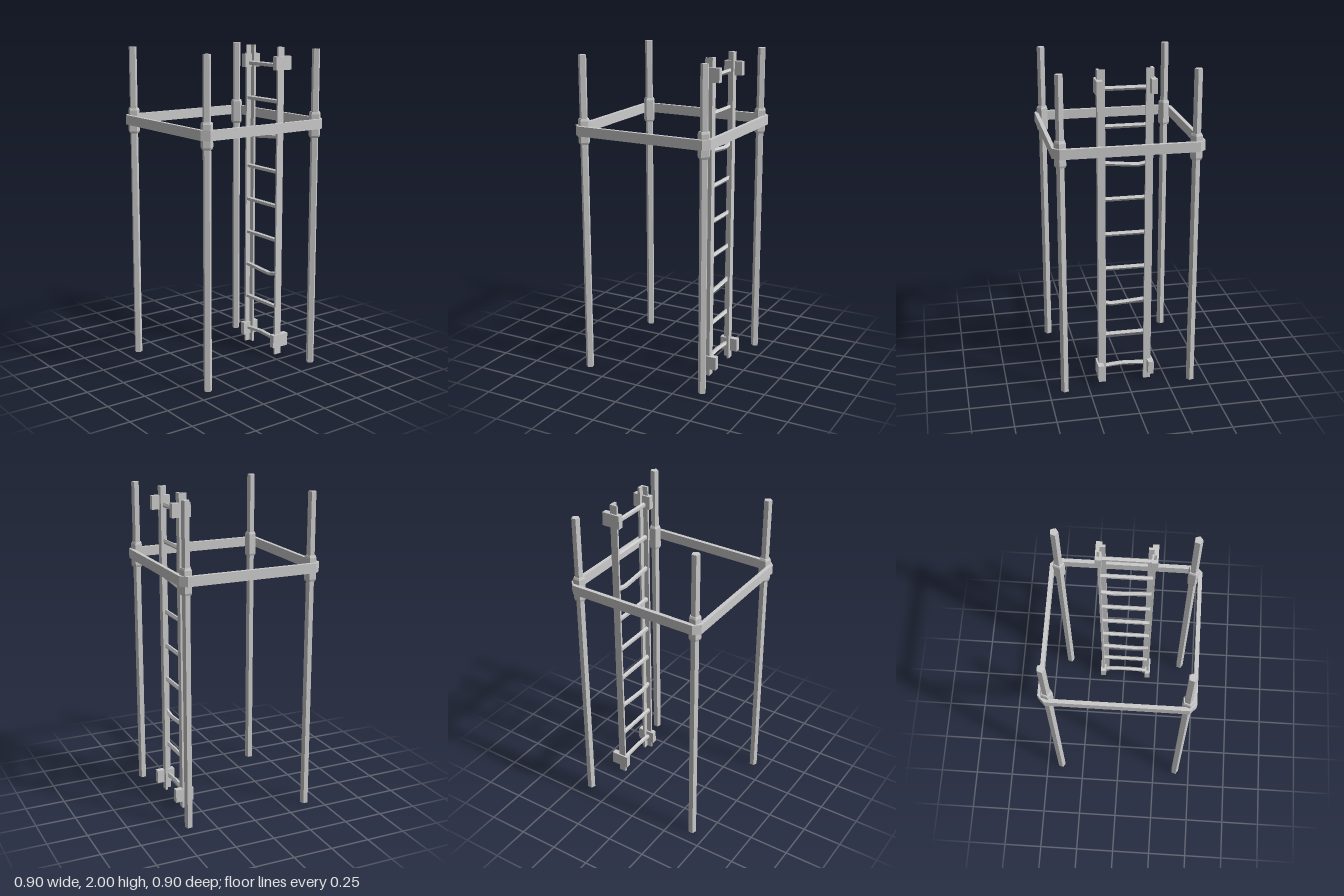
import * as THREE from 'three';

const material = new THREE.MeshStandardMaterial({ color: 0xcccccc, flatShading: true });

function add(parent, name, geometry, x = 0, y = 0, z = 0) {
  const mesh = new THREE.Mesh(geometry, material);
  mesh.name = name;
  mesh.position.set(x, y, z);
  parent.add(mesh);
  return mesh;
}

// Extrudes a plan outline given as [x, z] points upwards from y = 0.
const toPlan = (points) => points.map(([x, z]) => new THREE.Vector2(x, -z));
function extrudeUp(points, height, holePoints) {
  const shape = new THREE.Shape(toPlan(points));
  if (holePoints) shape.holes.push(new THREE.Path(toPlan(holePoints).reverse()));
  return new THREE.ExtrudeGeometry(shape, { depth: height, bevelEnabled: false }).rotateX(-Math.PI / 2);
}

// Square with cut corners.
function cutSquare(half, cut) {
  const a = half, b = half - cut;
  return [[b, a], [a, b], [a, -b], [b, -a], [-b, -a], [-a, -b], [-a, b], [-b, a]];
}

// Five-sided rung along x, bent by lifting its five cross-sections.
function rungGeometry(length, bend) {
  const geometry = new THREE.CylinderGeometry(0.015, 0.015, length, 5, 4, false, Math.PI).rotateZ(Math.PI / 2);
  const pos = geometry.attributes.position;
  for (let i = 0; i < pos.count; i++) {
    const section = Math.round((pos.getX(i) / length + 0.5) * 4);
    pos.setY(i, pos.getY(i) + bend[section]);
  }
  geometry.computeVertexNormals();
  return geometry;
}

function createFrame() {
  const frame = new THREE.Group();
  frame.name = 'frame';

  // Five-sided posts, each with a collar that tapers at both ends
  const collarProfile = [[0, -0.079], [0.032, -0.079], [0.0375, -0.066], [0.0375, 0.066], [0.032, 0.079], [0, 0.079]]
    .map(([r, y]) => new THREE.Vector2(r, y));
  for (const x of [-0.401, 0.401]) {
    for (const z of [-0.403, 0.401]) {
      add(frame, 'post', new THREE.CylinderGeometry(0.0255, 0.0255, 2, 5, 1, false, Math.PI / 2), x, 1, z);
      add(frame, 'collar', new THREE.LatheGeometry(collarProfile, 5, Math.PI / 2), x, 1.541, z);
    }
  }

  // Band around the four posts
  add(frame, 'band', extrudeUp(cutSquare(0.452, 0.039), 0.06, cutSquare(0.428, 0.027)), 0, 1.518, 0);
  return frame;
}

function createLadder() {
  const ladder = new THREE.Group();
  ladder.name = 'ladder';
  ladder.position.x = 0.009;

  for (const side of [-1, 1]) {
    // Angle-section rail: flange across the back, flange on the outside
    const section = [[0.166, -0.342], [0.12, -0.342], [0.12, -0.327], [0.152, -0.327], [0.152, -0.294], [0.166, -0.294]];
    add(ladder, 'rail', extrudeUp(section.map(([x, z]) => [side * x, z]), 2));

    // Mounting blocks near both ends
    for (const y of [0.093, 1.902]) {
      add(ladder, 'mountingBlock', new THREE.BoxGeometry(0.036, 0.085, 0.118), side * 0.159, y, -0.331);
    }
  }

  // Nine rungs, three of them bent
  const straight = [0, 0, 0, 0, 0];
  const bends = {
    0: [-0.003, 0.004, 0.01, 0.006, -0.003],
    2: [0.002, -0.004, -0.01, -0.014, 0.003],
    6: [-0.003, -0.017, -0.01, -0.002, 0.004],
  };
  for (let i = 0; i < 9; i++) {
    add(ladder, 'rung', rungGeometry(0.324, bends[i] || straight), 0, 0.098 + i * 0.2235, -0.313);
  }
  return ladder;
}

export function createModel() {
  const model = new THREE.Group();
  model.name = 'postFrameWithLadder';
  model.add(createFrame(), createLadder());
  return model;
}
